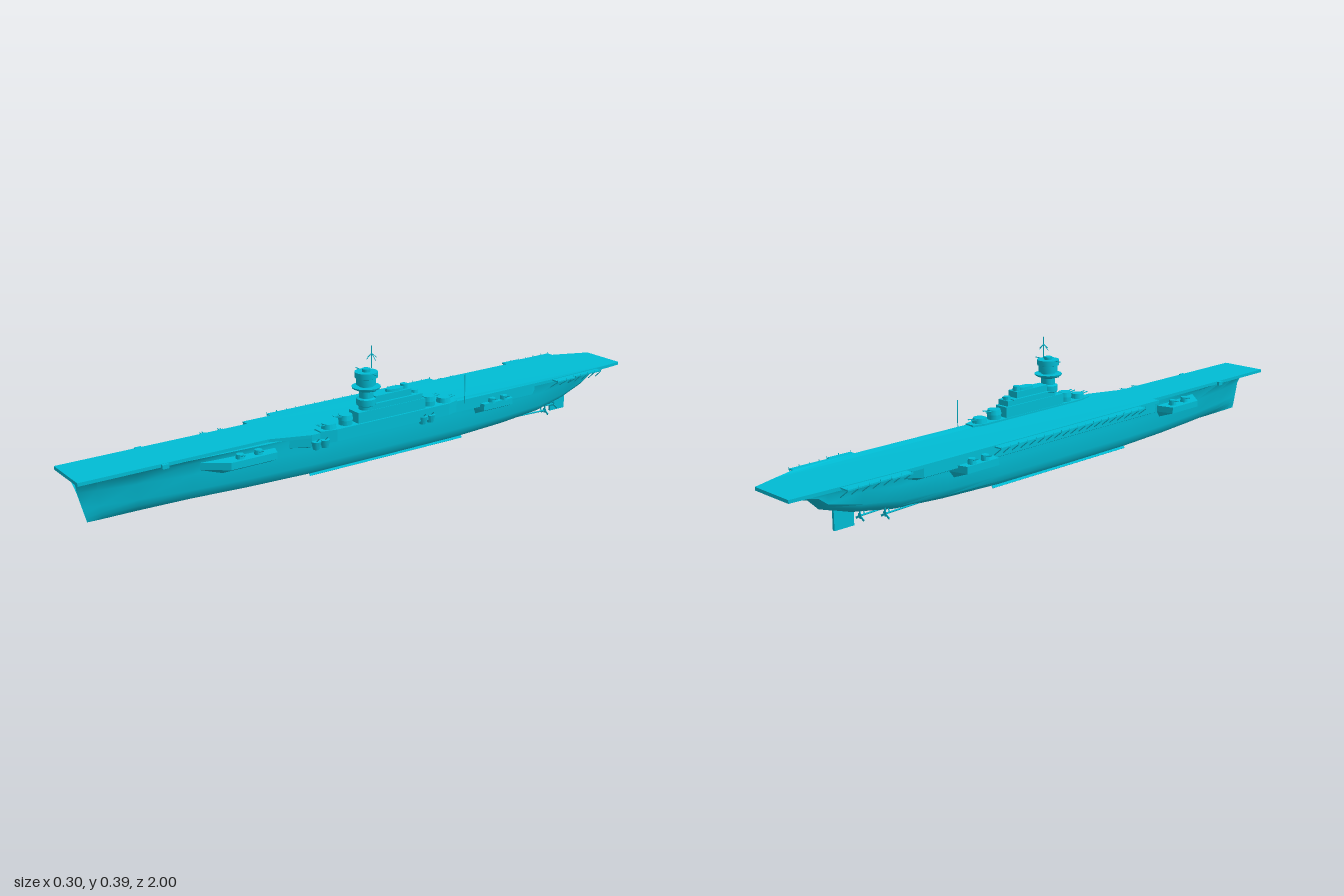
import * as THREE from 'three';
import { toCreasedNormals } from 'three/addons/utils/BufferGeometryUtils.js';
import { ConvexGeometry } from 'three/addons/geometries/ConvexGeometry.js';

const mat = new THREE.MeshStandardMaterial({ color: 0x00bcd4, side: THREE.DoubleSide });
const CX = -0.005; // hull centreline

export function createModel() {
  const ship = new THREE.Group();
  ship.name = 'aircraftCarrier';

  const add = (name, geo, x = 0, y = 0, z = 0, parent = ship) => {
    const m = new THREE.Mesh(geo, mat);
    m.name = name;
    m.position.set(x, y, z);
    parent.add(m);
    return m;
  };
  const box = (name, x0, x1, y0, y1, z0, z1) =>
    add(name, new THREE.BoxGeometry(x1 - x0, y1 - y0, z1 - z0), (x0 + x1) / 2, (y0 + y1) / 2, (z0 + z1) / 2);
  const cyl = (name, x, z, y0, y1, r0, r1 = r0, n = 16) =>
    add(name, toCreasedNormals(new THREE.CylinderGeometry(r1, r0, y1 - y0, n), 0.6), x, (y0 + y1) / 2, z);
  // horizontal plate from an [x, z] outline
  const slab = (name, pts, y0, y1) => {
    const s = new THREE.Shape(pts.map(([x, z]) => new THREE.Vector2(x, -z)));
    const g = new THREE.ExtrudeGeometry(s, { depth: y1 - y0, bevelEnabled: false });
    return add(name, g.rotateX(-Math.PI / 2), 0, y0, 0);
  };
  const rod = (name, a, b, r) => {
    const path = new THREE.LineCurve3(new THREE.Vector3(...a), new THREE.Vector3(...b));
    return add(name, new THREE.TubeGeometry(path, 1, r, 6));
  };

  // Hull: stations are z, top half beam, side half beam, bilge half beam, keel height, stem rake
  const stations = [
    [0.988, 0.035, 0.001, 0.001, 0.014, 0.036],
    [0.93, 0.055, 0.013, 0.006, 0.013, 0.02],
    [0.82, 0.064, 0.033, 0.017, 0.012, 0.01],
    [0.66, 0.074, 0.058, 0.036, 0.012, 0],
    [0.48, 0.082, 0.077, 0.055, 0.012, 0],
    [0.28, 0.088, 0.088, 0.068, 0.012, 0],
    [0, 0.088, 0.088, 0.07, 0.012, 0],
    [-0.28, 0.088, 0.088, 0.068, 0.012, 0],
    [-0.48, 0.087, 0.083, 0.055, 0.014, 0],
    [-0.64, 0.085, 0.073, 0.04, 0.02, 0],
    [-0.76, 0.08, 0.06, 0.027, 0.042, 0],
    [-0.86, 0.074, 0.045, 0.02, 0.075, 0],
    [-0.89, 0.07, 0.05, 0.03, 0.108, 0],
    [-0.985, 0.06, 0.05, 0.04, 0.143, 0],
  ];
  const half = ([z, t, m, b, k, rake]) =>
    [[1, t], [0.9, m + (t - m) * 0.4], [0.65, m], [0.32, m * 0.97], [0.18, m * 0.6 + b * 0.4], [0.09, b], [0, 0]]
      .map(([f, w]) => [w, k + f * (0.152 - k), z - (1 - f) * rake]);
  const pos = [], idx = [], rings = stations.map((s) => {
    const h = half(s);
    return [...h, ...h.slice(0, -1).reverse().map(([x, y, z]) => [-x, y, z])];
  });
  const n = rings[0].length;
  rings.forEach((r) => r.forEach(([x, y, z]) => pos.push(x + CX, y, z)));
  for (let i = 0; i < rings.length - 1; i++)
    for (let j = 0; j < n; j++) {
      const k = (j + 1) % n, a = i * n + j, b = i * n + k, c = a + n, d = b + n;
      idx.push(a, b, c, b, d, c);
    }
  for (let j = 1; j < n - 1; j++) idx.push((rings.length - 1) * n, (rings.length - 1) * n + j, (rings.length - 1) * n + j + 1);
  const hull = new THREE.BufferGeometry();
  hull.setAttribute('position', new THREE.Float32BufferAttribute(pos, 3));
  hull.setIndex(idx);
  add('hull', toCreasedNormals(hull, 0.6));

  // Flight deck, drooping slightly at the stern
  const deck = slab('flightDeck', [
    [-0.09, 1], [0.066, 1], [0.066, 0.42], [0.108, 0.3], [0.108, -0.65], [0.1, -0.86],
    [0.086, -0.93], [0.07, -1], [-0.08, -1], [-0.094, -0.93], [-0.108, -0.86], [-0.115, -0.65],
    [-0.115, 0.4], [-0.09, 0.4],
  ], 0.151, 0.161).geometry;
  const dp = deck.attributes.position;
  for (let i = 0; i < dp.count; i++) dp.setY(i, dp.getY(i) - Math.max(0, -dp.getZ(i) - 0.86) * 0.06);
  deck.computeVertexNormals();

  // Hull side blisters between hull and deck
  const sponson = (name, s, inner, outer, z0, z1, yb, yt, taper0, taper1, drop = 0.025) => {
    const P = (x, y, z) => new THREE.Vector3(s * x, y, z);
    const pts = [];
    for (const y of [yt, yb])
      pts.push(P(inner, y, z0), P(outer, y, z0 + taper0), P(outer, y, z1 - taper1), P(inner, y, z1));
    pts.push(P(inner, yb - drop, z0 + taper0), P(inner, yb - drop, z1 - taper1));
    return add(name, new ConvexGeometry(pts));
  };
  sponson('leftSideGallery', 1, 0.06, 0.108, -0.62, 0.4, 0.125, 0.151, 0.06, 0.1, 0.02);
  sponson('rightSideGallery', -1, 0.07, 0.115, -0.65, 0.4, 0.125, 0.151, 0.06, 0.02, 0.02);
  // Gun sponsons, forward and aft
  sponson('forwardLeftSponson', 1, 0.06, 0.113, 0.4, 0.64, 0.115, 0.136, 0.02, 0.07);
  sponson('forwardRightSponson', -1, 0.07, 0.14, 0.42, 0.63, 0.113, 0.133, 0.02, 0.06);
  sponson('aftLeftSponson', 1, 0.07, 0.124, -0.48, -0.33, 0.115, 0.136, 0.02, 0.01);
  sponson('aftRightSponson', -1, 0.08, 0.145, -0.48, -0.33, 0.112, 0.133, 0.02, 0.01);
  // Twin gun turrets standing on the sponsons
  for (const [x, z] of [[0.092, 0.53], [0.092, 0.47], [-0.114, 0.53], [-0.114, 0.47],
    [0.114, -0.38], [0.114, -0.43], [-0.13, -0.38], [-0.13, -0.43]]) {
    cyl('sponsonTurret', x, z, 0.132, 0.149, 0.013, 0.011, 12);
    for (const d of [-0.004, 0.004])
      rod('sponsonGun', [x, 0.143, z + d], [x + Math.sign(x) * 0.022, 0.148, z + d], 0.0012);
  }

  // Thin catwalks beside the deck, with frames below
  const catwalk = (x0, x1, z0, z1) => {
    box('catwalk', Math.min(x0, x1), Math.max(x0, x1), 0.155, 0.159, z0, z1);
    const count = Math.round((z1 - z0) / 0.035);
    for (let i = 0; i <= count; i++) {
      const z = z0 + ((z1 - z0) * i) / count;
      rod('catwalkBrace', [x1, 0.156, z], [x0, 0.132, z], 0.0015);
      rod('catwalkPost', [x1, 0.157, z], [x1, 0.163, z], 0.001);
    }
  };
  catwalk(-0.113, -0.143, -0.33, 0.3);
  catwalk(-0.105, -0.143, -0.65, -0.72);
  catwalk(-0.105, -0.138, -0.86, -0.65);
  catwalk(0.1, 0.133, -0.73, -0.65);
  catwalk(0.098, 0.123, -0.86, -0.73);

  // Round gun tubs beside the island
  for (const z of [-0.1, -0.13, 0.26, 0.29]) {
    cyl('gunTub', 0.115, z, 0.118, 0.142, 0.01, 0.015, 12);
    rod('tubGun', [0.118, 0.142, z], [0.13, 0.152, z], 0.0015);
  }

  // Island superstructure on its base
  const IX = 0.09;
  slab('islandBase', [[0.064, -0.2], [0.075, -0.24], [0.108, -0.24], [0.12, -0.2], [0.12, 0.22],
    [0.108, 0.27], [0.075, 0.27], [0.064, 0.22]], 0.128, 0.165);
  box('islandLowerBlock', 0.066, 0.114, 0.16, 0.198, -0.11, 0.14);
  box('islandUpperBlock', 0.07, 0.112, 0.195, 0.215, -0.1, 0.09);
  box('islandBridge', 0.072, 0.11, 0.21, 0.237, -0.06, 0.075);
  box('islandLedge', 0.064, 0.118, 0.214, 0.217, -0.08, 0.08);
  // Funnel and directors
  const funnel = cyl('funnel', IX, -0.01, 0.235, 0.245, 0.017, 0.016, 20);
  funnel.scale.z = 2;
  cyl('aftDirector', IX, -0.045, 0.235, 0.251, 0.012, 0.011, 12);
  cyl('aftRangefinder', IX, -0.085, 0.212, 0.225, 0.013, 0.011, 12);

  // Tower: stacked round stages as one lathed profile
  const tower = [[0, 0.16], [0.023, 0.16], [0.023, 0.208], [0.03, 0.212], [0.03, 0.231], [0.022, 0.234],
    [0.022, 0.254], [0.042, 0.263], [0.044, 0.268], [0.022, 0.268], [0.022, 0.273], [0.03, 0.274],
    [0.03, 0.294], [0.035, 0.296], [0.035, 0.313], [0.013, 0.313], [0.013, 0.322], [0, 0.322]];
  add('tower', toCreasedNormals(new THREE.LatheGeometry(tower.map((p) => new THREE.Vector2(...p)), 16), 0.5), IX, 0, 0.095);
  rod('rangefinderArm', [0.036, 0.312, 0.095], [0.146, 0.312, 0.095], 0.0015);
  rod('mast', [IX, 0.32, 0.075], [IX, 0.388, 0.075], 0.0015);
  for (const s of [-1, 1]) {
    rod('mastYard', [IX, 0.365, 0.075], [IX + s * 0.02, 0.348, 0.075], 0.001);
    rod('mastStay', [IX, 0.365, 0.075], [IX, 0.35, 0.075 + s * 0.018], 0.001);
    rod('searchlightArm', [IX + s * 0.03, 0.258, 0.095], [IX + s * 0.047, 0.264, 0.095], 0.002);
  }

  // Stepped turrets fore and aft of the island
  for (const [z, base, dir] of [[0.23, 0.165, 1], [0.17, 0.18, 1], [-0.14, 0.18, -1], [-0.2, 0.165, -1]]) {
    cyl('barbette', IX, z, 0.155, base, 0.021);
    cyl('turret', IX, z, base, base + 0.015, 0.023, 0.02);
    for (const d of [-0.007, 0.007])
      rod('turretGun', [IX + d, base + 0.009, z], [IX + d, base + 0.014, z + dir * 0.04], 0.0018);
  }

  // Aerials
  rod('deckMast', [0.11, 0.15, -0.27], [0.11, 0.243, -0.27], 0.0015);
  for (const x of [-0.095, 0.071]) box('deckEdgeFitting', x - 0.005, x + 0.005, 0.148, 0.16, 0.74, 0.76);

  // Rudder, shafts, propellers and bilge keels
  box('rudder', CX - 0.004, CX + 0.004, 0.003, 0.062, -0.815, -0.75);
  for (const s of [-1, 1]) {
    for (const [x, z, y] of [[0.024, -0.745, 0.034], [0.05, -0.68, 0.03]]) {
      const px = CX + s * x;
      rod('propellerShaft', [px, y, z], [px, y + 0.004, z + 0.17], 0.0025);
      rod('shaftStrut', [px, y, z + 0.015], [CX + s * x * 0.7, y + 0.035, z + 0.015], 0.002);
      for (let i = 0; i < 3; i++) {
        const blade = add('propellerBlade', new THREE.BoxGeometry(0.006, 0.028, 0.002).translate(0, 0.006, 0), px, y, z);
        blade.rotation.z = (i * Math.PI * 2) / 3;
      }
    }
    const keel = box('bilgeKeel', CX + s * 0.064 - 0.001, CX + s * 0.064 + 0.001, 0.015, 0.031, -0.3, 0.28);
    keel.rotation.z = s * 0.6;
  }
  return ship;
}
